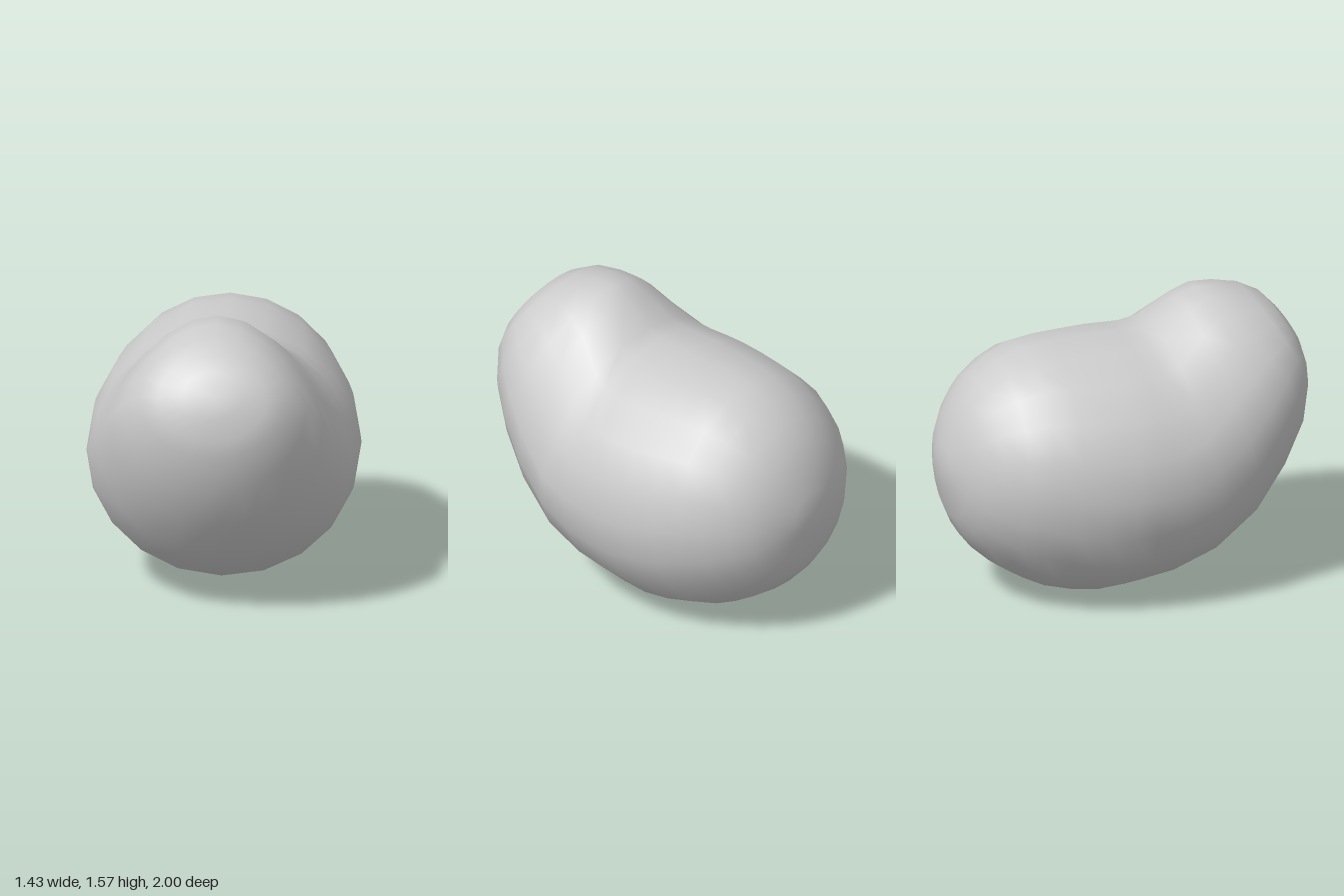
import * as THREE from 'three';

// Cross-sections from back to front: [topZ, topY, bottomZ, bottomY, halfWidth, pinch]
// pinch narrows the upper half of a section.
const SECTIONS = [
  [-0.985, 0.88, -0.99, 0.65, 0.13, 0],
  [-0.94, 1.03, -0.95, 0.48, 0.27, 0],
  [-0.88, 1.13, -0.90, 0.37, 0.37, 0],
  [-0.80, 1.23, -0.83, 0.28, 0.46, 0],
  [-0.68, 1.31, -0.73, 0.19, 0.55, 0],
  [-0.55, 1.365, -0.62, 0.12, 0.61, 0],
  [-0.40, 1.38, -0.50, 0.06, 0.66, 0],
  [-0.25, 1.383, -0.35, 0.02, 0.695, 0],
  [-0.10, 1.385, -0.20, 0, 0.713, 0],
  [0.00, 1.38, -0.05, 0.01, 0.715, 0],
  [0.10, 1.38, 0.15, 0.04, 0.71, 0.03],
  [0.18, 1.41, 0.41, 0.13, 0.69, 0.1],
  [0.33, 1.53, 0.66, 0.30, 0.63, 0.25],
  [0.43, 1.57, 0.84, 0.54, 0.57, 0.25],
  [0.55, 1.562, 0.96, 0.77, 0.49, 0.2],
  [0.69, 1.53, 1.00, 0.97, 0.39, 0.1],
  [0.80, 1.475, 1.00, 1.06, 0.29, 0.05],
  [0.87, 1.40, 0.985, 1.18, 0.16, 0],
];
const SIDES = 20;

// Closed loft through the tilted sections, with one shared point at each end
function loft(sections, backTip, frontTip) {
  const pos = [...backTip];
  const index = [];
  for (const [tz, ty, bz, by, w, pinch] of sections) {
    for (let i = 0; i < SIDES; i++) {
      const a = (i / SIDES) * Math.PI * 2;
      const s = Math.sin(a);
      const t = (1 + s) / 2;
      pos.push(
        w * Math.cos(a) * (1 - pinch * Math.max(0, s)),
        by + (ty - by) * t,
        bz + (tz - bz) * t,
      );
    }
  }
  pos.push(...frontTip);
  const last = pos.length / 3 - 1;
  const at = (ring, i) => 1 + ring * SIDES + (i % SIDES);
  const end = sections.length - 1;
  for (let i = 0; i < SIDES; i++) {
    index.push(0, at(0, i + 1), at(0, i));
    for (let r = 0; r < end; r++) {
      const a = at(r, i), b = at(r, i + 1), c = at(r + 1, i + 1), d = at(r + 1, i);
      index.push(a, b, c, a, c, d);
    }
    index.push(last, at(end, i), at(end, i + 1));
  }
  const geo = new THREE.BufferGeometry();
  geo.setAttribute('position', new THREE.Float32BufferAttribute(pos, 3));
  geo.setIndex(index);
  geo.computeVertexNormals();
  return geo;
}

export function createModel() {
  const group = new THREE.Group();
  group.name = 'bean';

  // Smooth bean body with its raised front lobe
  const body = new THREE.Mesh(
    loft(SECTIONS, [0, 0.765, -1], [0, 1.29, 0.94]),
    new THREE.MeshStandardMaterial({ color: 0xcccccc }),
  );
  body.name = 'beanBody';
  group.add(body);
  return group;
}
